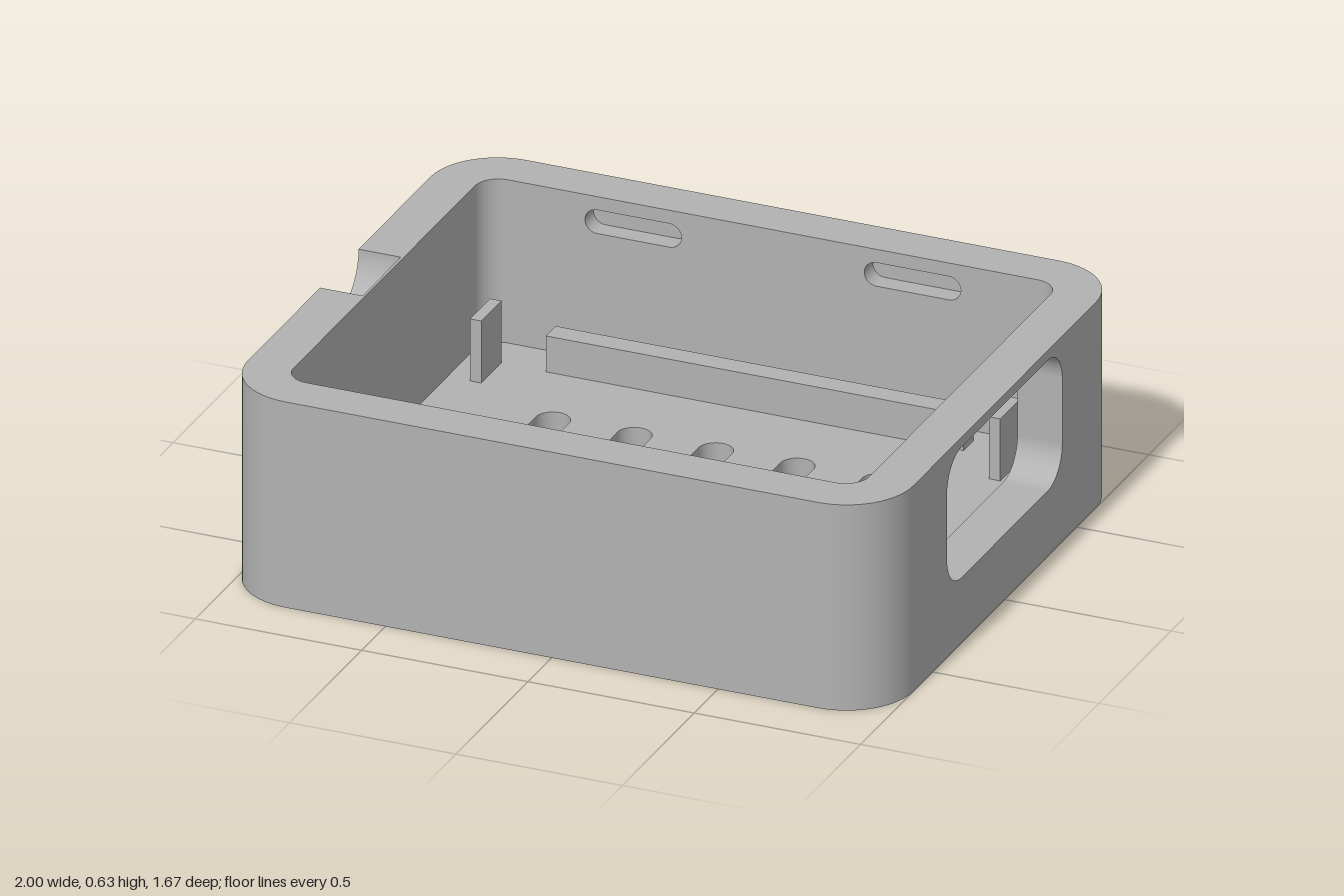
import * as THREE from 'three';
import { mergeGeometries } from 'three/addons/utils/BufferGeometryUtils.js';

const HX = 1, HZ = 0.835, H = 0.63, R = 0.2;      // outer size
const IX = 0.865, IZ = 0.7, IR = 0.07, F = 0.13;  // cavity size and floor level
const NOTCH = 0.133, NOTCH_X = -0.873;            // cable notch radius and end
const PI = Math.PI;

// Points of a counter-clockwise arc, each keeping its outward normal
function arc(cx, cy, r, a0, a1, n = 14) {
  return Array.from({ length: n + 1 }, (_, i) => {
    const a = a0 + (a1 - a0) * i / n;
    const p = new THREE.Vector2(cx + r * Math.cos(a), cy + r * Math.sin(a));
    p.n = [Math.cos(a), Math.sin(a)];
    return p;
  });
}

// The four corner arcs of a rounded rectangle, counter-clockwise
function corners(hx, hy, r, cx = 0, cy = 0) {
  return [[1, 1], [-1, 1], [-1, -1], [1, -1]].map(([sx, sy], i) =>
    arc(cx + sx * (hx - r), cy + sy * (hy - r), r, i * PI / 2, (i + 1) * PI / 2));
}
const roundRect = (...args) => corners(...args).flat();

// Wall swept along z from a 2D path; flip makes it face inwards
function strip(pts, depth, flip = false, closed = false) {
  const path = closed ? [...pts, pts[0]] : pts;
  const pos = [], nor = [], idx = [], s = flip ? -1 : 1;
  path.forEach((p, i) => {
    pos.push(p.x, p.y, 0, p.x, p.y, depth);
    nor.push(s * p.n[0], s * p.n[1], 0, s * p.n[0], s * p.n[1], 0);
    if (!i) return;
    const a = 2 * i - 2, b = 2 * i;
    if (flip) idx.push(a, b + 1, b, a, a + 1, b + 1);
    else idx.push(a, b, b + 1, a, b + 1, a + 1);
  });
  const g = new THREE.BufferGeometry();
  g.setAttribute('position', new THREE.Float32BufferAttribute(pos, 3));
  g.setAttribute('normal', new THREE.Float32BufferAttribute(nor, 3));
  g.setIndex(idx);
  return g;
}

// Flat face with holes, facing +z
function face(pts, holes = []) {
  const shape = new THREE.Shape(pts);
  shape.holes = holes.map(h => new THREE.Path(h));
  const g = new THREE.ShapeGeometry(shape);
  g.deleteAttribute('uv');
  return g;
}

const rect = (hw, y0, y1) =>
  [[-hw, y0], [hw, y0], [hw, y1], [-hw, y1]].map(([x, y]) => new THREE.Vector2(x, y));

export function createModel() {
  const model = new THREE.Group();
  const grey = new THREE.MeshStandardMaterial({ color: 0xb2b2b2 });
  grey.name = 'grey plastic';

  const add = (name, ...geos) => {
    const mesh = new THREE.Mesh(geos.length > 1 ? mergeGeometries(geos) : geos[0], grey);
    mesh.name = name;
    model.add(mesh);
  };

  // Floor with vent slots
  const slots = [-2, -1, 0, 1, 2].map(i => roundRect(0.05, 0.352, 0.05, i * 0.245, 0));
  add('floor',
    face(roundRect(HX, HZ, R), slots).rotateX(PI / 2),
    face(roundRect(IX, IZ, IR), slots).rotateX(-PI / 2).translate(0, F, 0),
    ...slots.map(s => strip(s, F, true, true).rotateX(-PI / 2)));

  // Outer skin: front and back with their rounded corners
  const c = corners(HX, HZ, R);
  const half = [[...c[0], ...c[1]], [...c[2], ...c[3]]];
  add('outerWalls', ...half.map(p => strip(p, H).rotateX(-PI / 2)));

  // Inner rounded corners
  add('innerCorners', ...corners(IX, IZ, IR).map(p =>
    strip(p, H - F, true).rotateX(-PI / 2).translate(0, F, 0)));

  // Top rim, cut by the notch
  const rimCut = [[-HX, NOTCH], [NOTCH_X, NOTCH], [NOTCH_X, -NOTCH], [-HX, -NOTCH]]
    .map(([x, y]) => new THREE.Vector2(x, y));
  add('rim', face([...half[0], ...rimCut, ...half[1]], [roundRect(IX, IZ, IR)])
    .rotateX(-PI / 2).translate(0, H, 0));

  // Left wall with a large rounded window
  const win = roundRect(0.4, 0.2, 0.1, 0, 0.4);
  add('windowWall',
    face(rect(HZ - R, 0, H), [win]).rotateY(PI / 2).translate(HX, 0, 0),
    face(rect(IZ - IR, F, H), [win]).rotateY(-PI / 2).translate(IX, 0, 0),
    strip(win, HX - IX, true, true).rotateY(PI / 2).translate(IX, 0, 0));

  // Right wall with a half-round notch that stops at a thin skin
  const bowl = arc(0, H, NOTCH, PI, 2 * PI, 24);
  const [bl, br, tr, tl] = rect(HZ - R, 0, H);
  add('notchWall',
    face([bl, br, tr, ...[...bowl].reverse(), tl]).rotateY(-PI / 2).translate(-HX, 0, 0),
    face(rect(IZ - IR, F, H)).rotateY(PI / 2).translate(-IX, 0, 0),
    strip(bowl, NOTCH_X + HX, true).rotateY(PI / 2).translate(-HX, 0, 0),
    face(bowl).rotateY(-PI / 2).translate(NOTCH_X, 0, 0));

  // Inner long walls, each with two blind snap recesses
  const deep = 0.06;
  const pills = [-0.42, 0.42].map(x => roundRect(0.145, 0.036, 0.036, x, 0.553));
  for (const [name, turn] of [['backInnerWall', 0], ['frontInnerWall', PI]]) {
    add(name, ...[
      face(rect(IX - IR, F, H), pills),
      ...pills.map(p => strip(p, deep, true, true).translate(0, 0, -deep)),
      ...pills.map(p => face(p).translate(0, 0, -deep)),
    ].map(g => g.translate(0, 0, -IZ).rotateY(turn)));
  }

  // Board rails and corner posts standing on the floor
  for (const s of [-1, 1]) {
    const side = s < 0 ? 'back' : 'front';
    add(side + 'Rail', new THREE.BoxGeometry(1.256, 0.11, 0.068).translate(0, F + 0.055, s * 0.608));
    for (const t of [-1, 1]) {
      add(side + (t < 0 ? 'Right' : 'Left') + 'Post',
        new THREE.BoxGeometry(0.034, 0.19, 0.14).translate(t * 0.78, F + 0.095, s * 0.508));
    }
  }
  return model;
}
